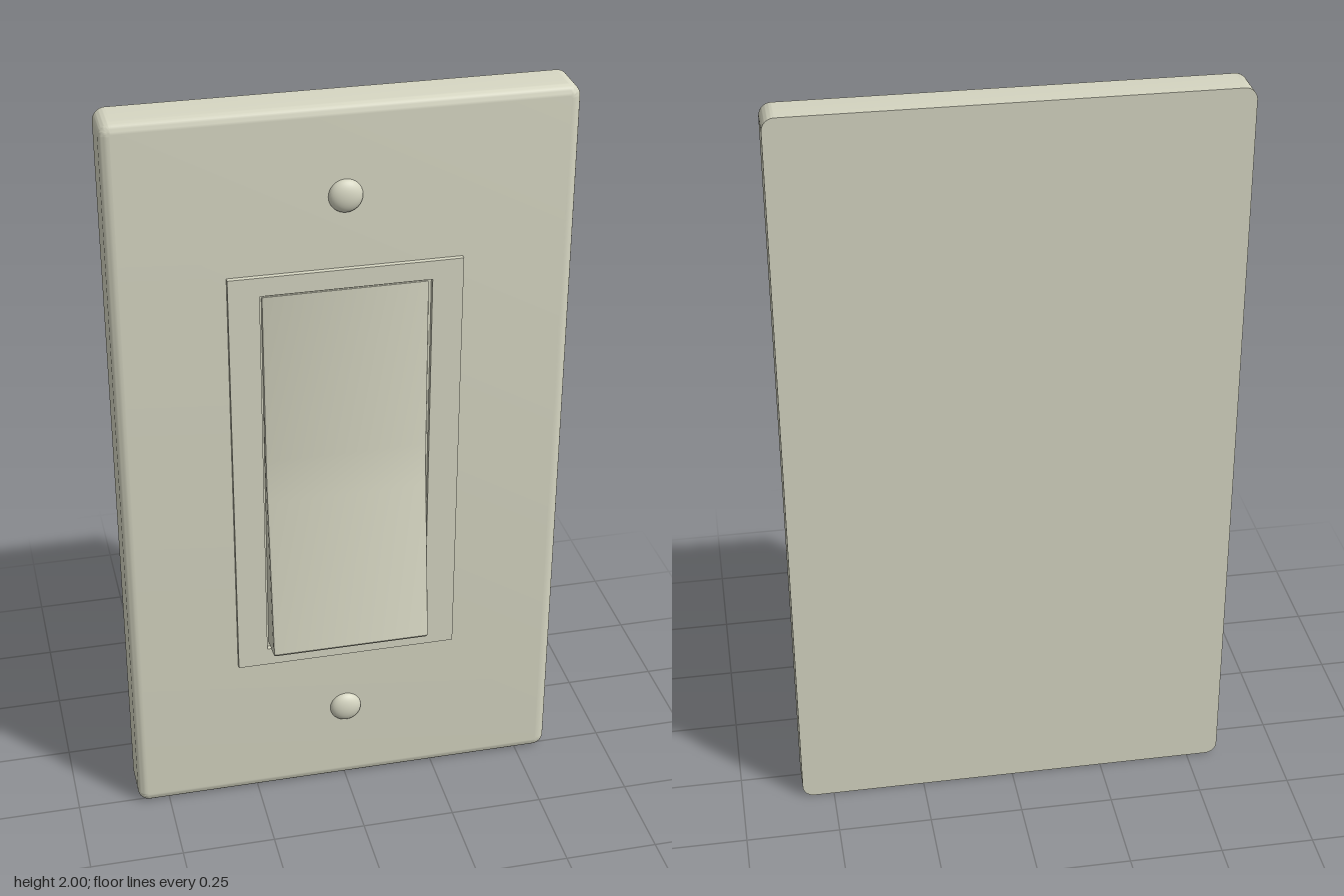
import * as THREE from 'three';
import { toCreasedNormals } from 'three/addons/utils/BufferGeometryUtils.js';

const material = new THREE.MeshStandardMaterial({ color: 0xd6d6c2 });

function addPart(group, name, geometry) {
  const mesh = new THREE.Mesh(geometry, material);
  mesh.name = name;
  group.add(mesh);
  return mesh;
}

// Rounded rectangle from (-w, y0) to (w, y1)
function roundedRect(w, y0, y1, r) {
  const s = new THREE.Shape();
  s.absarc(w - r, y0 + r, r, -Math.PI / 2, 0);
  s.absarc(w - r, y1 - r, r, 0, Math.PI / 2);
  s.absarc(-w + r, y1 - r, r, Math.PI / 2, Math.PI);
  s.absarc(-w + r, y0 + r, r, Math.PI, Math.PI * 1.5);
  s.closePath();
  return s;
}

// Wall plate: softened front edge, sharp flat back
function plateGeometry() {
  const back = -0.095, front = 0.02, bevel = 0.022;
  const geo = new THREE.ExtrudeGeometry(roundedRect(0.585, 0, 2, 0.032), {
    depth: front - back - bevel, curveSegments: 8,
    bevelThickness: bevel, bevelSize: 0.026, bevelOffset: -0.026, bevelSegments: 6,
  });
  const p = geo.attributes.position;
  for (let i = 0; i < p.count; i++) p.setZ(i, Math.max(p.getZ(i), 0));
  geo.translate(0, 0, back);
  return toCreasedNormals(geo, 0.6);
}

// Thin raised surround with a rectangular opening
function frameGeometry() {
  const s = new THREE.Shape();
  s.moveTo(-0.297, 0.427).lineTo(0.297, 0.427).lineTo(0.297, 1.58).lineTo(-0.297, 1.58).closePath();
  const hole = new THREE.Path();
  hole.moveTo(-0.218, 0.477).lineTo(-0.218, 1.53).lineTo(0.218, 1.53).lineTo(0.218, 0.477).closePath();
  s.holes.push(hole);
  return new THREE.ExtrudeGeometry(s, { depth: 0.034, bevelEnabled: false });
}

// Rocker: side profile (z, y) swept across the width, lower end tipped out
function rockerGeometry() {
  const s = new THREE.Shape();
  s.moveTo(0, 0.483).lineTo(0.09, 0.491).lineTo(0.095, 0.498);
  s.lineTo(0.043, 0.94);
  s.quadraticCurveTo(0.036, 1.0, 0.034, 1.06);
  s.lineTo(0.025, 1.522).lineTo(0, 1.522).closePath();
  const width = 0.424, b = 0.006;
  const geo = new THREE.ExtrudeGeometry(s, {
    depth: width - 2 * b, curveSegments: 8,
    bevelThickness: b, bevelSize: b, bevelOffset: -b, bevelSegments: 2,
  });
  geo.translate(0, 0, b - width / 2).rotateY(-Math.PI / 2);
  return toCreasedNormals(geo, 0.5);
}

export function createModel() {
  const model = new THREE.Group();
  model.name = 'wallSwitch';

  addPart(model, 'wallPlate', plateGeometry());
  addPart(model, 'switchFrame', frameGeometry());
  addPart(model, 'rocker', rockerGeometry());

  // Domed screw heads above and below the switch
  const dome = new THREE.SphereGeometry(0.043, 32, 10, 0, Math.PI * 2, 0, Math.PI / 2);
  dome.rotateX(Math.PI / 2).scale(1, 1, 0.55);
  for (const [name, y] of [['upperScrew', 1.77], ['lowerScrew', 0.24]]) {
    addPart(model, name, dome).position.set(0, y, 0.02);
  }
  return model;
}
